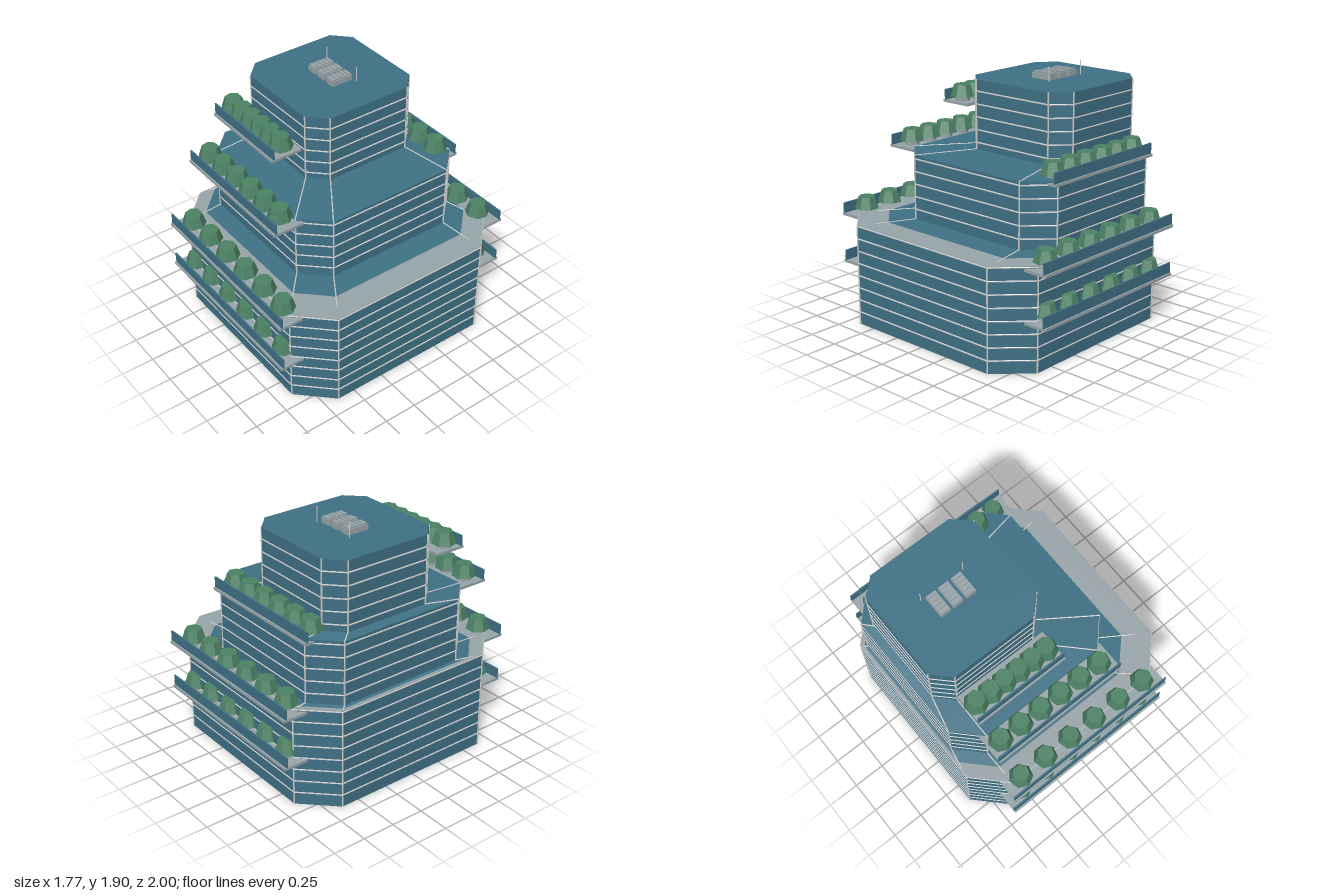
import * as THREE from 'three';

const mat = (color, extra = {}) => new THREE.MeshStandardMaterial({ color, flatShading: true, ...extra });

export function createModel() {
  const model = new THREE.Group();
  model.name = 'terracedTower';
  const glass = mat(0x3f7185), grey = mat(0xcccccc), stone = mat(0x98a5a9), leaf = mat(0x4c8264);

  const add = (parent, name, geometry, material, x = 0, y = 0, z = 0) => {
    const mesh = new THREE.Mesh(geometry, material);
    mesh.name = name;
    mesh.position.set(x, y, z);
    parent.add(mesh);
    return mesh;
  };
  const group = (name, parent = model) => {
    const g = new THREE.Group();
    g.name = name;
    parent.add(g);
    return g;
  };
  const box = (parent, name, material, x0, x1, y0, y1, z0, z1) =>
    add(parent, name, new THREE.BoxGeometry(x1 - x0, y1 - y0, z1 - z0), material,
      (x0 + x1) / 2, (y0 + y1) / 2, (z0 + z1) / 2);
  const UP = new THREE.Vector3(0, 1, 0);
  const rod = (parent, name, a, b, r) => {
    const d = b.clone().sub(a);
    const m = add(parent, name, new THREE.CylinderGeometry(r, r, d.length(), 6), grey);
    m.position.copy(a).addScaledVector(d, 0.5);
    m.quaternion.setFromUnitVectors(UP, d.normalize());
  };

  // Chamfered rectangle as eight [x, z] corners
  const outline = ({ x, z, cx, cz }) => [
    [cx[0], z[1]], [cx[1], z[1]], [x[1], cz[1]], [x[1], cz[0]],
    [cx[1], z[0]], [cx[0], z[0]], [x[0], cz[0]], [x[0], cz[1]],
  ];
  const prism = (pts, y0, y1) => {
    const shape = new THREE.Shape(pts.map(([x, z]) => new THREE.Vector2(x, -z)));
    return new THREE.ExtrudeGeometry(shape, { depth: y1 - y0, bevelEnabled: false })
      .rotateX(-Math.PI / 2).translate(0, y0, 0);
  };
  // Sloping terrace between two outlines
  const terrace = (outer, y0, inner, y1) => {
    const pos = [], n = outer.length;
    outer.forEach(([ax, az], i) => {
      const j = (i + 1) % n, [bx, bz] = outer[j], [cx, cz] = inner[j], [dx, dz] = inner[i];
      pos.push(ax, y0, az, bx, y0, bz, cx, y1, cz, ax, y0, az, cx, y1, cz, dx, y1, dz);
    });
    const g = new THREE.BufferGeometry();
    g.setAttribute('position', new THREE.Float32BufferAttribute(pos, 3));
    g.computeVertexNormals();
    return g;
  };

  const tiers = [
    { name: 'lowerTier', x: [-0.88, 0.88], z: [-0.88, 0.88], cx: [-0.645, 0.645], cz: [-0.64, 0.64], y: [0, 0.757] },
    { name: 'middleTier', x: [-0.84, 0.515], z: [-0.78, 0.6], cx: [-0.655, 0.335], cz: [-0.595, 0.41], y: [0.757, 1.255] },
    { name: 'upperTier', x: [-0.78, 0.135], z: [-0.64, 0.28], cx: [-0.655, 0.01], cz: [-0.52, 0.155], y: [1.255, 1.787] },
  ];
  const FLOOR = 0.0945;

  tiers.forEach((t, k) => {
    const g = group(t.name), pts = outline(t), [y0, y1] = t.y;
    add(g, 'walls', prism(pts, y0, y1), glass);

    // Floor bands and corner posts
    pts.forEach(([x, z], i) => {
      const [nx, nz] = pts[(i + 1) % pts.length];
      rod(g, 'cornerPost', new THREE.Vector3(x, y0, z), new THREE.Vector3(x, y1, z), 0.006);
      for (let f = 1; f <= 18; f++) {
        const y = f * FLOOR;
        if (y > y0 - 0.002 && y < y1 + 0.002)
          rod(g, 'floorBand', new THREE.Vector3(x, y, z), new THREE.Vector3(nx, y, nz), 0.006);
      }
    });

    // Sloping roof with hip rods up to the next tier
    if (k < 2) {
      const inner = outline(tiers[k + 1]), rise = y1 + 0.018;
      add(g, 'terraceRoof', terrace(pts, y1, inner, rise), glass);
      pts.forEach(([x, z], i) => rod(g, 'hipRod', new THREE.Vector3(x, y1, z),
        new THREE.Vector3(inner[i][0], rise, inner[i][1]), 0.005));
    }
    if (k === 0) add(g, 'terracePaving', prism(pts, y1, y1 + 0.0095), stone);
  });

  // Balconies: slab, parapet and a row of potted shrubs
  const crown = new THREE.CylinderGeometry(0.063, 0.091, 0.09, 7);
  const pot = new THREE.CylinderGeometry(0.054, 0.054, 0.04, 8);
  const balcony = (name, x0, x1, y, zIn, zOut, treeZ, t0, t1, side) => {
    const g = group(name);
    const span = (label, material, ya, yb, a, b) =>
      box(g, label, material, x0, x1, ya, yb, Math.min(a * side, b * side), Math.max(a * side, b * side));
    span('slab', stone, y, y + 0.02, zIn, zOut);
    span('parapet', glass, y + 0.02, y + 0.098, zOut - 0.024, zOut - 0.012);
    for (let i = 0; i < 6; i++) {
      const x = t0 + (t1 - t0) * i / 5, z = treeZ * side;
      add(g, 'planter', pot, stone, x, y + 0.04, z);
      add(g, 'shrub', crown, leaf, x, y + 0.097, z);
    }
  };
  for (const side of [1, -1]) {
    const where = side > 0 ? 'front' : 'back';
    balcony(where + 'LowBalcony', -0.715, 0.71, 0.352, 0.8, 1, 0.88, -0.575, 0.57, side);
    balcony(where + 'TerraceBalcony', -0.715, 0.71, 0.726, 0.8, 1, 0.88, -0.575, 0.57, side);
    balcony(where + 'MiddleBalcony', -0.7, 0.385, 1.226, 0.565, 0.805, 0.685, -0.6, 0.275, side);
  }
  balcony('frontTopBalcony', -0.69, 0.045, 1.546, 0.335, 0.58, 0.455, -0.62, -0.03, 1);

  // Rooftop cooling units with raised slats, and two masts
  const roof = group('roofEquipment');
  for (const x of [-0.43, -0.325, -0.217]) {
    box(roof, 'coolingUnit', stone, x - 0.04, x + 0.04, 1.787, 1.828, -0.27, -0.1);
    for (let i = 0; i < 5; i++) {
      const z = -0.253 + i * 0.034;
      box(roof, 'slat', stone, x - 0.034, x + 0.034, 1.828, 1.838, z - 0.011, z + 0.011);
    }
  }
  for (const x of [-0.5, -0.145])
    rod(roof, 'mast', new THREE.Vector3(x, 1.787, -0.285), new THREE.Vector3(x, 1.897, -0.285), 0.004);

  return model;
}
